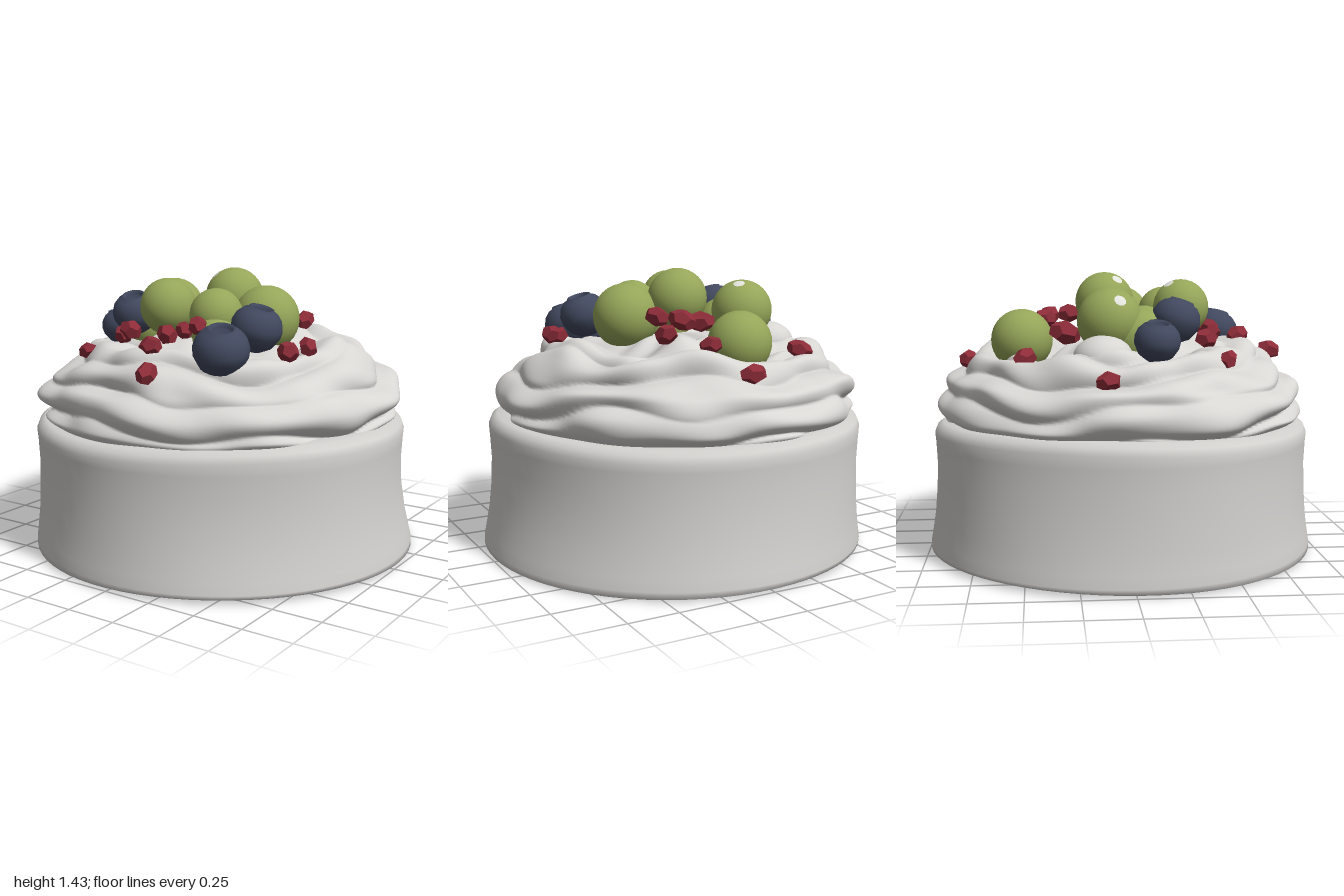
import * as THREE from 'three';
import { mergeVertices } from 'three/addons/utils/BufferGeometryUtils.js';

const mat = (name, color, side = THREE.FrontSide) => {
  const m = new THREE.MeshStandardMaterial({ color, side });
  m.name = name;
  return m;
};
const v2 = ([x, y]) => new THREE.Vector2(x, y);

// Lathe whose vertices are moved by a rule, welded so the shading stays smooth
function sculptedLathe(points, segments, rule) {
  let geo = new THREE.LatheGeometry(points, segments);
  const pos = geo.attributes.position, v = new THREE.Vector3();
  for (let i = 0; i < pos.count; i++) {
    v.fromBufferAttribute(pos, i);
    const t = (i % points.length) / (points.length - 1);
    rule(v, Math.atan2(v.z, v.x), t);
    pos.setXYZ(i, v.x, v.y, v.z);
  }
  geo.deleteAttribute('normal');
  geo.deleteAttribute('uv');
  geo = mergeVertices(geo, 1e-4);
  geo.computeVertexNormals();
  return geo;
}

export function createModel() {
  const model = new THREE.Group();
  const cream = mat('cream', 0xd8d6d3, THREE.DoubleSide);
  const meringue = mat('meringue', 0xd3d1ce);
  const green = mat('grape green', 0x95a659);
  const blue = mat('blueberry blue', 0x42495f);
  const darkBlue = mat('blueberry crown', 0x3a4056);
  const red = mat('seed red', 0x8c2c38);
  const white = mat('pale spot', 0xe2e2dc);

  const add = (name, geo, material, x = 0, y = 0, z = 0, parent = model) => {
    const m = new THREE.Mesh(geo, material);
    m.name = name;
    m.position.set(x, y, z);
    parent.add(m);
    return m;
  };

  // Round meringue base: slightly waisted, leaning a little to one side
  const baseProfile = [
    [0, 0.012], [0.5, 0.012], [0.97, 0.012], [0.975, 0.012], [0.998, 0.02], [0.998, 0.045], [0.988, 0.1],
    [0.972, 0.2], [0.96, 0.33], [0.955, 0.47], [0.96, 0.58], [0.964, 0.63],
    [0.95, 0.665], [0.92, 0.685], [0.85, 0.69], [0, 0.69],
  ].map(v2);
  add('meringueBase', sculptedLathe(baseProfile, 72, (v, a) => {
    const k = Math.min(1, v.y / 0.35);
    const w = 1 + 0.006 * k * (Math.sin(3 * a + 1) + Math.sin(5 * a));
    v.x = v.x * w - 0.02 * k;
    v.z *= w;
    v.y += v.y > 0.6 ? 0.012 * Math.sin(2 * a + 0.6) : 0;
    if (v.y < 0.03) v.y = Math.max(0, v.y + 0.008 * Math.sin(2 * a) * Math.hypot(v.x, v.z));
  }), meringue);

  // Whipped cream: a dome cut by irregular spiral folds, with local hollows and mounds
  const creamCurve = new THREE.SplineCurve([
    [0.82, 0.64], [0.885, 0.69], [0.91, 0.74], [0.915, 0.81], [0.88, 0.88], [0.82, 0.92],
    [0.76, 0.97], [0.7, 1.02], [0.62, 1.05], [0.52, 1.04], [0.4, 1.05], [0.22, 1.08], [0, 1.09],
  ].map(v2));
  const bumps = [ // x, z, height, width
    [0.68, -0.12, 0.06, 0.18], [-0.15, -0.52, -0.06, 0.17], [-0.36, -0.4, -0.05, 0.14],
    [0.16, -0.36, 0.08, 0.12], [0.38, -0.28, -0.05, 0.12], [0.1, -0.68, 0.03, 0.15],
    [-0.08, 0.42, 0.07, 0.15], [0.45, 0.3, -0.02, 0.16], [-0.62, -0.2, 0.02, 0.14],
    [-0.7, 0.3, -0.03, 0.2], [0.05, 0.62, 0.02, 0.14], [0.12, 0.82, 0.05, 0.13],
  ];
  add('whippedCream', sculptedLathe(creamCurve.getPoints(100), 160, (v, a, t) => {
    const r = Math.hypot(v.x, v.z);
    const wobble = 0.25 * Math.sin(2 * a + 0.7) + 0.17 * Math.sin(5 * a + 7 * t) + 0.1 * Math.sin(8 * a - 9 * t);
    const fold = Math.abs(Math.sin(Math.PI * (t * 5 + a / (2 * Math.PI) + wobble))) - 0.62;
    const depth = 0.05 + 0.018 * Math.sin(3 * a + 8 * t);
    const fade = Math.min(1, t * 8) * Math.min(1, r / 0.3);
    const dir = new THREE.Vector2(Math.max(0, r - 0.45), Math.max(0.02, v.y - 0.76)).normalize();
    const d = fade * (depth * fold + 0.01 * Math.sin(7 * a + 14 * t) + 0.008 * Math.sin(13 * a - 12 * t));
    const k = r > 1e-4 ? 1 + (dir.x * d) / r : 1;
    v.x = v.x * k - 0.025;
    v.z *= k * 1.01;
    v.y += dir.y * d;
    const w = THREE.MathUtils.smoothstep(t, 0.25, 0.55);
    for (const [x, z, h, s] of bumps) {
      v.y += w * h * Math.exp(-((v.x - x) ** 2 + (v.z - z) ** 2) / (s * s));
    }
  }), cream);

  // Loose cream dollops beside the fruit
  const ball = new THREE.SphereGeometry(1, 24, 16);
  for (const [x, y, z, r] of [[-0.51, 1.03, -0.12, 0.145], [-0.5, 1.0, 0.36, 0.08]]) {
    add('creamDollop', ball, cream, x, y, z).scale.set(r, r * 0.75, r);
  }

  // Grapes, with small pale spots on some of them
  const spot = new THREE.SphereGeometry(1.012, 10, 3, 0, Math.PI * 2, 0, 0.19);
  const grapes = [ // x, y, z, radius, spot directions
    [-0.1, 1.09, -0.51, 0.157, []],
    [-0.38, 1.2, -0.08, 0.16, [[0.3, 0.9, -0.3], [-0.68, 0.6, 0.25]]],
    [0.01, 1.28, -0.08, 0.152, [[-0.5, 0.75, 0.4]]],
    [0.26, 1.19, 0.01, 0.168, []],
    [-0.14, 1.255, 0.3, 0.142, [[-0.25, 0.8, -0.45]]],
    [0.11, 1.22, 0.24, 0.134, [[-0.55, 0.8, 0.2]]],
    [0.145, 1.12, 0.3, 0.115, []],
    [-0.37, 1.1, 0.07, 0.16, []],
    [-0.02, 1.12, 0.12, 0.14, []],
  ];
  const up = new THREE.Vector3(0, 1, 0);
  for (const [x, y, z, r, spots] of grapes) {
    const g = new THREE.Group();
    g.name = 'grape';
    g.position.set(x, y, z);
    g.scale.setScalar(r);
    add('grapeSkin', ball, green, 0, 0, 0, g);
    for (const d of spots) {
      add('grapeSpot', spot, white, 0, 0, 0, g).quaternion.setFromUnitVectors(up, new THREE.Vector3(...d).normalize());
    }
    model.add(g);
  }

  // Blueberries with a raised crown ring around a sunken eye; the last is half buried
  const berryGeo = new THREE.LatheGeometry([
    [0, -0.88], [0.4, -0.8], [0.75, -0.55], [0.96, -0.15], [0.99, 0.15], [0.88, 0.48],
    [0.68, 0.7], [0.52, 0.77], [0.48, 0.85], [0.41, 0.86], [0.36, 0.75],
  ].map(v2), 22);
  const eyeGeo = new THREE.LatheGeometry([[0.36, 0.75], [0.3, 0.67], [0, 0.65]].map(v2), 22);
  const blueberries = [ // x, y, z, radius, crown direction
    [-0.575, 1.11, 0.13, 0.112, [-0.25, 1, 0.1]],
    [-0.395, 1.2, 0.24, 0.122, [0.1, 1, 0.35]],
    [0.37, 1.175, 0.285, 0.128, [0.3, 1, 0.0]],
    [0.345, 1.1, 0.55, 0.136, [0.2, 1, 0.25]],
    [0.26, 1.07, 0.48, 0.085, [1, 0.4, 0]],
  ];
  for (const [x, y, z, r, d] of blueberries) {
    const g = new THREE.Group();
    g.name = 'blueberry';
    g.position.set(x, y, z);
    g.scale.setScalar(r);
    g.quaternion.setFromUnitVectors(up, new THREE.Vector3(...d).normalize());
    add('berrySkin', berryGeo, blue, 0, 0, 0, g);
    add('berryEye', eyeGeo, darkBlue, 0, 0, 0, g);
    model.add(g);
  }

  // Faceted red fruit seeds scattered on the cream
  const seedGeo = new THREE.DodecahedronGeometry(1, 0);
  const seeds = [ // x, y, z, heading, scale
    [0, 0.985, -0.79, 1.5, 1.1], [0.11, 1.1, -0.59, 0.5], [-0.47, 1.03, -0.49, 0.8, 1.1], [-0.17, 1.13, -0.29, 0.3, 1.4],
    [0.05, 1.19, -0.39, 0.9, 1.15], [0.14, 1.2, -0.37, 0.9, 1.15], [0.25, 1.14, -0.41, 0.2, 1.1], [0.22, 1.21, -0.26, 0.5, 1.1],
    [-0.78, 0.95, -0.11, 0.3, 1.05], [0.58, 1.09, 0.15, 0.6, 1.05], [0.55, 1.08, 0.29, 0.2, 1.15], [-0.35, 1.11, 0.4, 0.6, 1.1],
    [-0.28, 1.14, 0.43, 1.2, 1.15], [-0.52, 1.02, 0.48, 1.3], [-0.03, 1.14, 0.46, 0.8, 1.15], [0.13, 1.19, 0.43, 0.5, 1.05],
    [-0.01, 1.1, 0.62, 1, 1.2], [0.12, 1.015, 0.82, 0.3, 1.1], [0, 1.15, 0.36, 0.4],
  ];
  seeds.forEach(([x, y, z, heading, s = 1], i) => {
    const m = add('redSeed', seedGeo, red, x, y, z);
    m.scale.set(0.045 * s, 0.045 * s, 0.064 * s);
    m.rotation.set(0.35 * Math.sin(i * 2.3), heading, 0.4 * Math.cos(i * 1.7), 'YXZ');
  });

  return model;
}
